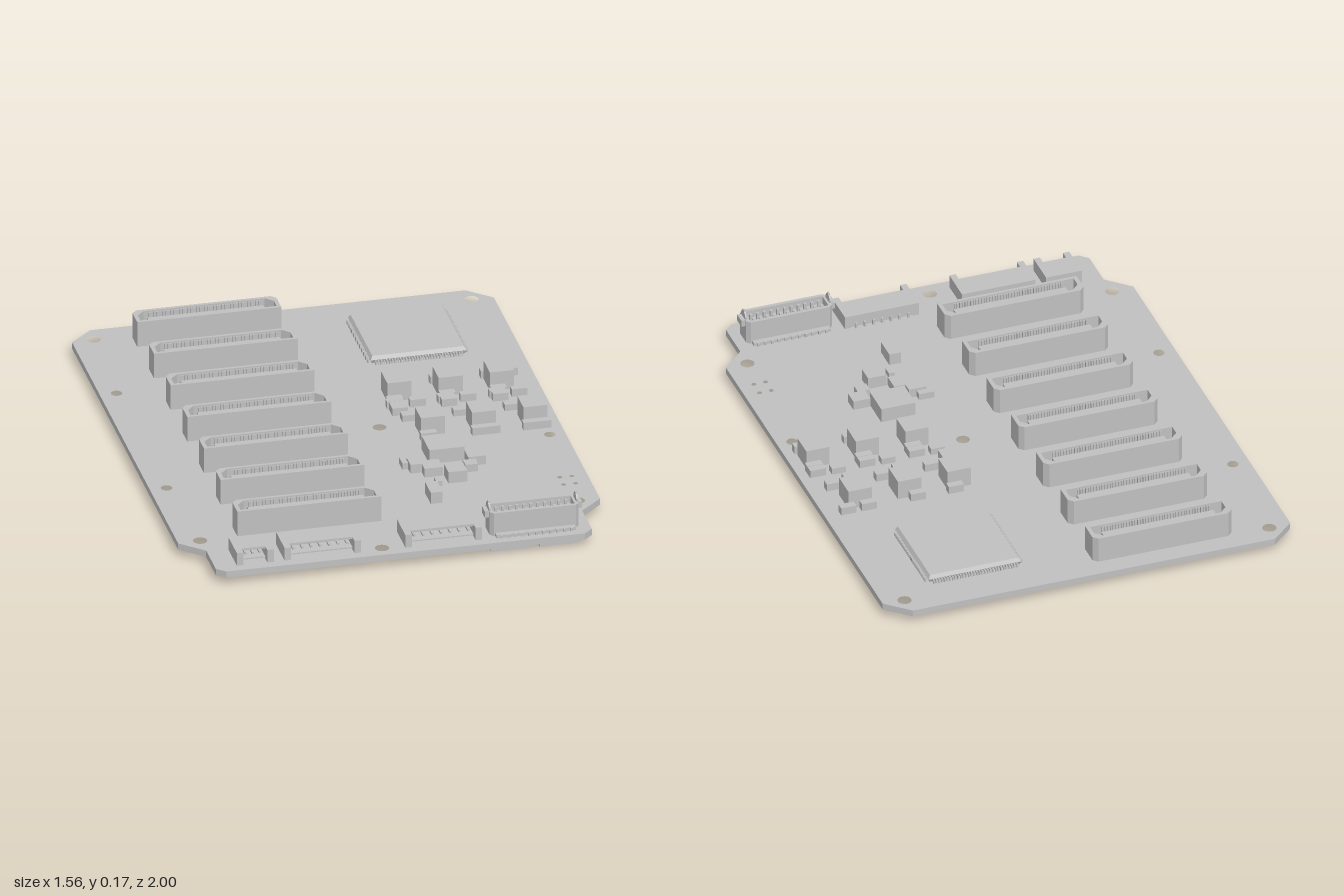
import * as THREE from 'three';
import { mergeGeometries } from 'three/addons/utils/BufferGeometryUtils.js';

const TOP = 0.055, UNDER = 0.03;

export function createModel() {
  const model = new THREE.Group();
  const grey = new THREE.MeshStandardMaterial({ color: 0xc0c0c0 });
  grey.name = 'light grey';

  // helpers: box from limits, flat slab from an x/z outline, merged mesh
  const box = (x0, x1, y0, y1, z0, z1) =>
    new THREE.BoxGeometry(x1 - x0, y1 - y0, z1 - z0).translate((x0 + x1) / 2, (y0 + y1) / 2, (z0 + z1) / 2);
  const flip = (pts) => pts.map(([x, z]) => new THREE.Vector2(x, -z));
  const slab = (pts, y0, y1, holes = []) => {
    const shape = new THREE.Shape(flip(pts));
    shape.holes = holes;
    return new THREE.ExtrudeGeometry(shape, { depth: y1 - y0, bevelEnabled: false, curveSegments: 10 })
      .rotateX(-Math.PI / 2).translate(0, y0, 0);
  };
  const add = (name, geos, parent = model) => {
    const mesh = new THREE.Mesh(mergeGeometries(geos.map((g) => (g.index ? g.toNonIndexed() : g))), grey);
    mesh.name = name;
    parent.add(mesh);
    return mesh;
  };
  const rect = (hx, z0, z1, c = 0) => [[-hx, z1], [hx, z1], [hx, z0 + c], [hx - c, z0], [c - hx, z0], [-hx, z0 + c]];
  const plain = (x0, x1, z0, z1) => [[x0, z1], [x1, z1], [x1, z0], [x0, z0]];

  // circuit board with mounting holes
  const half = [[0.695, -1], [0.782, -0.92], [0.782, 0.74], [0.697, 0.82], [0.697, 0.97], [0.665, 1]];
  const outline = [...half, ...half.map(([x, z]) => [-x, z]).reverse()];
  const holes = [
    [0.7, -0.925, 0.026], [-0.7, -0.925, 0.026], [0.7, 0.737, 0.026], [-0.7, 0.737, 0.026],
    [-0.72, -0.485, 0.021], [-0.72, 0.297, 0.021], [0.725, 0.197, 0.021], [0.14, 0, 0.025], [-0.075, 0.945, 0.026],
    [0.68, 0.54, 0.009], [0.725, 0.54, 0.009], [0.68, 0.6, 0.009], [0.725, 0.6, 0.009],
  ].map(([x, z, r]) => new THREE.Path().absarc(x, -z, r, 0, Math.PI * 2, true));
  add('circuitBoard', [slab(outline, UNDER, TOP, holes)]);

  // seven mezzanine slots: chamfered shroud, tongue, contact rows
  for (let i = 0; i < 7; i++) {
    const slot = new THREE.Group();
    slot.name = 'slotConnector';
    slot.position.set(-0.294, 0, -0.877 + i * 0.2607);
    const cavity = new THREE.Path(flip(rect(0.252, -0.036, 0.034, 0.028)));
    add('slotShroud', [slab(rect(0.267, -0.048, 0.046, 0.018), TOP, 0.154, [cavity])], slot);
    add('slotTongue', [box(-0.255, 0.255, TOP, 0.08, -0.038, 0.036), box(-0.215, 0.215, 0.08, 0.135, -0.019, 0.017)], slot);
    const pins = [];
    for (let k = 0; k < 40; k++) {
      const x = -0.205 + k * 0.01051;
      pins.push(box(x - 0.003, x + 0.003, 0.08, 0.148, -0.036, -0.03));
      pins.push(box(x - 0.003, x + 0.003, 0.08, 0.148, 0.028, 0.034));
    }
    add('slotContacts', pins, slot);
    model.add(slot);
  }

  // large square chip: two bevelled halves and leads on four sides
  const chip = new THREE.Group();
  chip.name = 'processor';
  chip.position.set(0.403, 0, -0.675);
  const frustum = (rTop, rBottom, y0, y1) =>
    new THREE.CylinderGeometry(rTop * Math.SQRT2, rBottom * Math.SQRT2, y1 - y0, 4, 1).toNonIndexed()
      .rotateY(Math.PI / 4).translate(0, (y0 + y1) / 2, 0);
  const body = add('processorBody', [frustum(0.178, 0.172, 0.058, 0.072), frustum(0.17, 0.178, 0.072, 0.086)], chip);
  body.geometry.computeVertexNormals();
  const leads = [];
  for (let side = 0; side < 4; side++) {
    for (let k = 0; k < 32; k++) {
      const x = -0.16 + k * 0.01032;
      leads.push(box(x - 0.0027, x + 0.0027, 0.066, 0.07, 0.172, 0.183).rotateY(side * Math.PI / 2));
      leads.push(box(x - 0.0027, x + 0.0027, TOP, 0.07, 0.181, 0.187).rotateY(side * Math.PI / 2));
    }
  }
  add('processorLeads', leads, chip);
  model.add(chip);

  // three power stages, repeated along x
  for (let i = 0; i < 3; i++) {
    const s = i * 0.19;
    add('powerInductor', [
      box(0.215 + s, 0.305 + s, TOP, 0.129, -0.29, -0.193),
      box(0.268 + s, 0.357 + s, TOP, 0.129, 0.012, 0.107),
    ]);
    const small = [[0.23, -0.148], [0.335, -0.038], [0.335, -0.008], [0.29, 0.13]];
    add('powerCapacitor', small.map(([x, z]) =>
      box(x - 0.03 + s, x + 0.03 + s, TOP, 0.085, z - 0.014, z + 0.014)));
    add('powerController', [box(0.23 + s, 0.283 + s, TOP, 0.08, -0.058, -0.022)]);
  }
  // loose capacitors and resistors around the power stages
  const loose = [[0.282, -0.308], [0.427, -0.308], [0.615, -0.308], [0.695, -0.308], [0.235, -0.168], [0.235, -0.118],
    [0.235, -0.09], [0.313, -0.142], [0.43, -0.168], [0.5, -0.142], [0.62, -0.168], [0.69, -0.142], [0.615, -0.12],
    [0.425, -0.12], [0.525, 0.13], [0.715, 0.13]];
  add('smallCapacitors', loose.map(([x, z]) => box(x - 0.029, x + 0.029, TOP, 0.085, z - 0.014, z + 0.014)));

  // central regulator cluster: x0, x1, z0, z1, top
  const cluster = [[0.247, 0.378, 0.208, 0.328, 0.11], [0.142, 0.2, 0.298, 0.35, 0.08], [0.163, 0.23, 0.324, 0.388, 0.09],
    [0.38, 0.445, 0.318, 0.376, 0.09], [0.205, 0.273, 0.362, 0.43, 0.09], [0.358, 0.405, 0.382, 0.424, 0.085],
    [0.278, 0.348, 0.43, 0.496, 0.1], [0.23, 0.253, 0.472, 0.51, 0.075], [0.178, 0.222, 0.552, 0.642, 0.1]];
  for (const [x0, x1, z0, z1, y] of cluster) add('regulatorPart', [box(x0, x1, TOP, y, z0, z1)]);

  // side-entry headers: open-fronted housings with arms, pins and solder tails
  for (const [x0, x1, n] of [[-0.617, -0.48, 3], [-0.44, -0.157, 7], [0.008, 0.292, 7]]) {
    const header = new THREE.Group();
    header.name = 'sideHeader';
    const w = 0.024;
    add('headerHousing', [
      box(x0 + w, x1 - w, TOP + 0.004, 0.064, 0.83, 0.93),
      box(x0 + w, x1 - w, 0.064, 0.1, 0.83, 0.855),
      box(x0 + w, x1 - w, 0.096, 0.105, 0.83, 0.93),
      box(x0, x0 + w, TOP, 0.105, 0.83, 0.963),
      box(x1 - w, x1, TOP, 0.105, 0.83, 0.963),
    ], header);
    const pins = [];
    for (let k = 0; k < n; k++) {
      const x = x0 + 0.042 + (x1 - x0 - 0.084) * k / (n - 1);
      pins.push(box(x - 0.004, x + 0.004, 0.076, 0.084, 0.85, 0.925));
      pins.push(box(x - 0.004, x + 0.004, TOP, 0.075, 0.822, 0.832));
      pins.push(box(x - 0.006, x + 0.006, 0.018, UNDER, 0.835, 0.855));
    }
    add('headerPins', pins, header);
    model.add(header);
  }

  // upright two-row header with latches
  const cable = new THREE.Group();
  cable.name = 'cableHeader';
  cable.position.set(0.492, 0, 0.9);
  const shaft = new THREE.Path(flip(plain(-0.15, 0.15, -0.032, 0.032)));
  add('cableShroud', [
    slab([[-0.165, 0.032], [-0.152, 0.045], [0.152, 0.045], [0.165, 0.032], [0.165, -0.032], [0.152, -0.045],
      [-0.152, -0.045], [-0.165, -0.032]], TOP, 0.146, [shaft]),
    box(-0.15, 0.15, TOP, 0.115, -0.032, 0.032),
    box(-0.147, 0.147, TOP, 0.067, -0.066, 0.066),
  ], cable);
  const posts = [];
  for (let k = 0; k < 11; k++) {
    const x = -0.13 + k * 0.026;
    for (const z of [-0.016, 0.016]) posts.push(box(x - 0.005, x + 0.005, 0.115, 0.14, z - 0.005, z + 0.005));
    for (const z of [-0.066, 0.066]) posts.push(box(x - 0.005, x + 0.005, TOP, 0.068, z - 0.006, z + 0.006));
  }
  add('cablePins', posts, cable);
  for (const s of [-1, 1]) {
    const knob = new THREE.CylinderGeometry(0.022, 0.022, 0.006, 16).rotateZ(Math.PI / 2).translate(s * 0.162, 0.152, 0);
    add('cableLatch', [
      knob,
      box(s * 0.171 - 0.009, s * 0.171 + 0.009, 0.12, 0.146, -0.022, 0.022),
      box(s * 0.162 - 0.003, s * 0.162 + 0.003, 0.14, 0.178, -0.006, 0.006),
    ], cable);
  }
  model.add(cable);

  // framed sockets under the cable header
  for (const [x0, x1] of [[0.325, 0.47], [0.505, 0.645]]) {
    const opening = new THREE.Path(flip(plain(x0 + 0.014, x1 - 0.014, 0.87, 0.952)));
    const parts = [slab(plain(x0, x1, 0.855, 0.967), 0.003, UNDER, [opening])];
    for (let k = 0; k < 5; k++) {
      const x = x0 + 0.03 + k * (x1 - x0 - 0.06) / 4;
      parts.push(box(x - 0.006, x + 0.006, 0.015, UNDER, 0.87, 0.885));
    }
    add('undersideSocket', parts);
  }

  // rows of three capacitors under the slots
  for (const z of [-0.735, -0.47, 0.05, 0.57]) {
    for (let k = 0; k < 3; k++) {
      const x = -0.36 + k * 0.095;
      add('undersideCapacitor', [box(x - 0.036, x + 0.036, 0.01, UNDER, z - 0.023, z + 0.023)]);
    }
  }
  // single underside parts: x, z, half width, half depth
  const singles = [[0.14, -0.73, 0.035, 0.03], [-0.31, -0.95, 0.035, 0.02], [0.62, 0.38, 0.035, 0.055], [0.5, -0.01, 0.025, 0.018],
    [0.456, 0.65, 0.022, 0.03], [0.32, 0.656, 0.022, 0.03], [-0.73, 0.05, 0.02, 0.025], [-0.38, 0.67, 0.022, 0.03],
    [-0.14, -0.1, 0.02, 0.02], [0.2, 0.47, 0.03, 0.02]];
  for (const [x, z, hx, hz] of singles) add('undersidePart', [box(x - hx, x + hx, 0.015, UNDER, z - hz, z + hz)]);

  return model;
}
